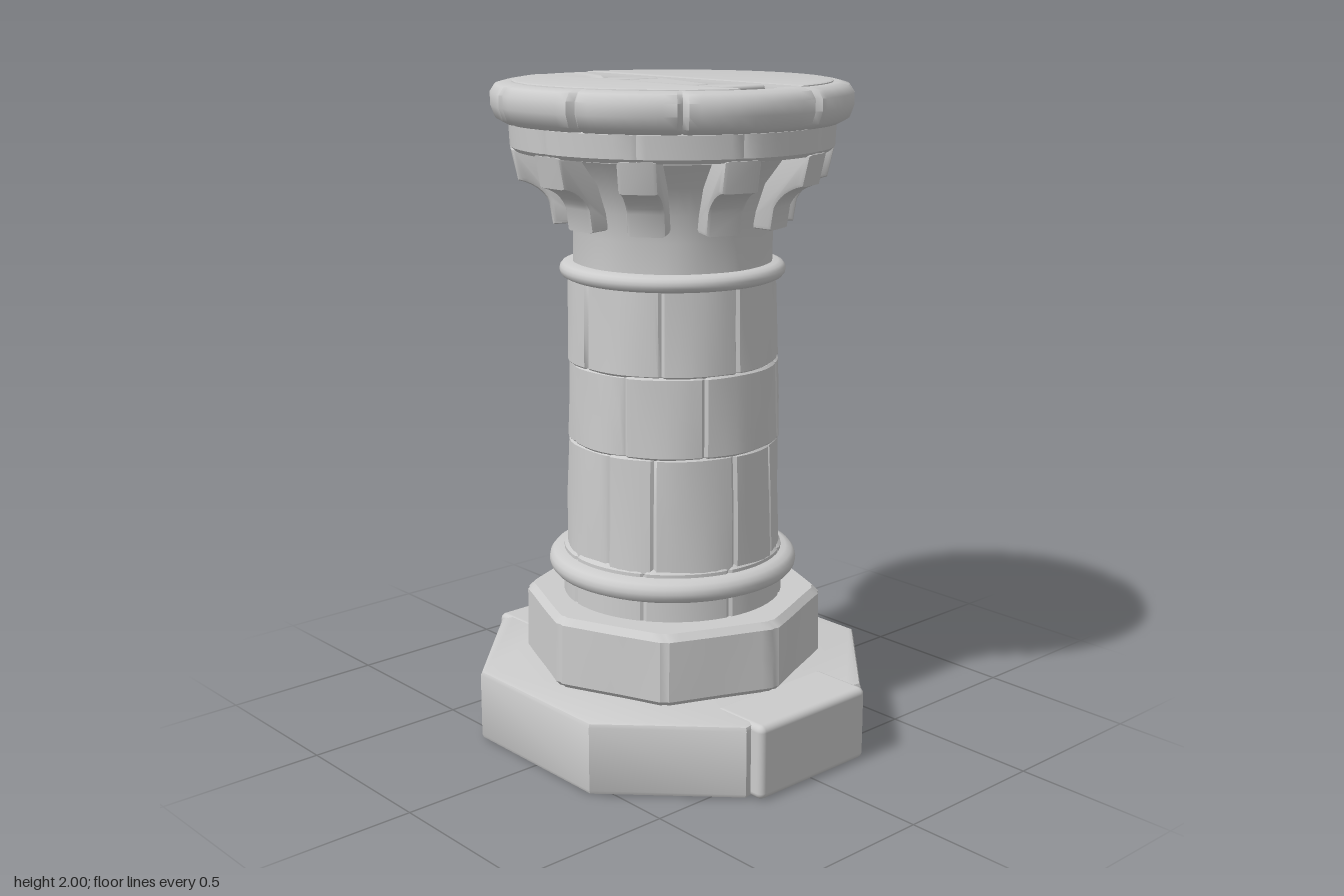
import * as THREE from 'three';
import { toCreasedNormals } from 'three/addons/utils/BufferGeometryUtils.js';
import { RoundedBoxGeometry } from 'three/addons/geometries/RoundedBoxGeometry.js';

const TAU = Math.PI * 2;
const stone = new THREE.MeshStandardMaterial({ color: 0xcccccc });
const rad = (d) => THREE.MathUtils.degToRad(d);
const noise = (n) => { const s = Math.sin(n * 127.1 + 3.7) * 43758.5; return (s - Math.floor(s)) * 2 - 1; };
const evenSeams = (n, offset = 0) => Array.from({ length: n }, (_, i) => offset + (i * 360) / n);

function add(group, geometry, name) {
  const mesh = new THREE.Mesh(geometry, stone);
  mesh.name = name;
  group.add(mesh);
  return mesh;
}

// Ring of stones: a turned profile [radius, y] (bottom to top) with grooves at
// the seam angles, small radius changes per stone and an optional outline.
function stoneRing(profile, { seams = [], groove = 0.03, wobble = 0, seed = 0, outline = () => 1, count = 64, crease = 35 } = {}) {
  const marks = seams.map((d) => THREE.MathUtils.euclideanModulo(rad(d), TAU)).sort((a, b) => a - b);
  const gap = (a, m) => Math.abs(Math.atan2(Math.sin(a - m), Math.cos(a - m)));
  const steps = [];
  for (let i = 0; i < count; i++) {
    const a = (i / count) * TAU;
    if (marks.every((m) => gap(a, m) > 0.045)) steps.push({ a, cut: 0 });
  }
  for (const m of marks) steps.push({ a: m - 0.03, cut: 0 }, { a: m, cut: groove }, { a: m + 0.03, cut: 0 });
  steps.sort((p, q) => p.a - q.a);

  const point = ({ a, cut }, [r, y]) => {
    const k = marks.filter((m) => m < a).length % Math.max(marks.length, 1);
    const dent = wobble * (noise(k + seed) + 0.5 * Math.sin(a * 9 + y * 14 + seed));
    const s = r * outline(a) * (1 - cut + dent);
    return [Math.cos(a) * s, y, Math.sin(a) * s];
  };
  const pos = [];
  steps.forEach((s, i) => {
    const t = steps[(i + 1) % steps.length];
    for (let j = 0; j < profile.length - 1; j++) {
      const [a, b, c, d] = [point(s, profile[j]), point(s, profile[j + 1]), point(t, profile[j + 1]), point(t, profile[j])];
      if (profile[j + 1][0] > 0) pos.push(...a, ...b, ...c);
      if (profile[j][0] > 0) pos.push(...a, ...c, ...d);
    }
  });
  const g = new THREE.BufferGeometry();
  g.setAttribute('position', new THREE.Float32BufferAttribute(pos, 3));
  return toCreasedNormals(g, rad(crease));
}

// Drum with softly rounded edges, closed at both ends
const drum = (y0, y1, r0, r1, e = 0.012) => [
  [0, y0], [r0 - e, y0], [r0, y0 + e], [(r0 + r1) / 2, (y0 + y1) / 2], [r1, y1 - e], [r1 - e, y1], [0, y1]];

// Half-round moulding
function moulding(y0, y1, rIn, rOut) {
  const p = [];
  for (let i = 0; i <= 8; i++) {
    const t = -Math.PI / 2 + (Math.PI * i) / 8;
    p.push([rIn + (rOut - rIn) * Math.sqrt(Math.max(Math.cos(t), 0)), (y0 + y1) / 2 + (Math.sin(t) * (y1 - y0)) / 2]);
  }
  return p;
}

// Flat slab from plan points [x, z], with bevelled edges
function slab(points, y0, y1, bevel) {
  const shape = new THREE.Shape(points.map(([x, z]) => new THREE.Vector2(x, -z)));
  const g = new THREE.ExtrudeGeometry(shape, {
    depth: y1 - y0 - 2 * bevel, bevelThickness: bevel, bevelSize: bevel, bevelOffset: -bevel, bevelSegments: 2 });
  g.rotateX(-Math.PI / 2).translate(0, y0 + bevel, 0);
  return toCreasedNormals(g, rad(40));
}

export function createModel() {
  const model = new THREE.Group();

  // Octagonal plinth with two projecting side blocks
  const corner = [[0.575, 0.2], [0.58, 0.24], [0.26, 0.557]];
  const plan = [
    ...corner, ...[...corner].reverse().map(([x, z]) => [-x, z]),
    ...corner.map(([x, z]) => [-x, -z]), ...[...corner].reverse().map(([x, z]) => [x, -z])];
  add(model, slab(plan, 0, 0.225, 0.015), 'plinth');
  for (const s of [1, -1]) {
    add(model, new RoundedBoxGeometry(0.2, 0.227, 0.44, 3, 0.02), 'plinthSideBlock').position.set(s * 0.52, 0.1135, 0);
  }

  // Octagonal second step, its stones meeting at the corners
  const octagon = (a) => {
    const w = Math.PI / 4;
    const t = THREE.MathUtils.euclideanModulo(a, w) - w / 2;
    return Math.cos(w / 2) / Math.cos(t);
  };
  add(model, stoneRing(drum(0.22, 0.443, 0.463, 0.46, 0.02),
    { seams: evenSeams(8), groove: 0.02, outline: octagon, wobble: 0.004, seed: 4 }), 'step');

  // Shaft foot and lower moulding
  add(model, stoneRing(drum(0.43, 0.6, 0.338, 0.335), { seams: evenSeams(8, 12), groove: 0.02 }), 'shaftFoot');
  add(model, stoneRing(moulding(0.505, 0.58, 0.3, 0.382)), 'lowerMoulding');

  // Shaft in three courses of staggered stones
  const courses = [
    [0.58, 0.935, 0.33, 0.32, [8, 52, 78, 135, 170, 215, 262, 300, 338]],
    [0.93, 1.175, 0.32, 0.316, [25, 68, 110, 150, 196, 240, 283, 325]],
    [1.17, 1.44, 0.315, 0.309, [5, 48, 95, 132, 180, 222, 270, 312]]];
  courses.forEach(([y0, y1, r0, r1, seams], i) => {
    add(model, stoneRing(drum(y0, y1, r0, r1, 0.007),
      { seams, groove: 0.025, wobble: 0.012, seed: i * 11 + 2, count: 56 }), 'shaftCourse');
  });
  add(model, stoneRing(moulding(1.42, 1.472, 0.28, 0.338)), 'upperMoulding');

  // Flared capital core
  add(model, stoneRing([[0, 1.44], [0.3, 1.44], [0.3, 1.56], [0.315, 1.64], [0.345, 1.72], [0.4, 1.79], [0.4, 1.82], [0, 1.82]],
    { wobble: 0.01, seed: 6 }), 'capitalCore');

  // Ten curved brackets around the capital, one facing the front
  const side = new THREE.Shape();
  side.moveTo(0.26, 1.59);
  side.lineTo(0.355, 1.585);
  side.lineTo(0.365, 1.65);
  side.quadraticCurveTo(0.39, 1.7, 0.455, 1.715);
  side.lineTo(0.475, 1.805);
  side.lineTo(0.26, 1.805);
  const bracket = new THREE.ExtrudeGeometry(side, {
    depth: 0.09, bevelThickness: 0.012, bevelSize: 0.012, bevelOffset: -0.012, bevelSegments: 2, curveSegments: 6 });
  bracket.translate(0, 0, -0.045);
  const bracketGeometry = toCreasedNormals(bracket, rad(40));
  for (let i = 0; i < 10; i++) {
    add(model, bracketGeometry, 'bracket').rotation.y = Math.PI / 2 + (i * TAU) / 10;
  }

  // Collar under the cap
  add(model, stoneRing(drum(1.8, 1.89, 0.477, 0.48), { seams: evenSeams(10, 18), groove: 0.012 }), 'collar');

  // Cap rim of rounded stones, recessed in the middle
  const capSeams = [39, 73, 107, 141, 187, 220, 253, 287, 320, 353];
  add(model, stoneRing([[0, 1.88], [0.49, 1.88], [0.517, 1.895], [0.53, 1.93], [0.53, 1.965], [0.515, 1.988], [0.485, 1.996],
    [0.4, 1.99], [0.35, 1.968], [0, 1.968]], { seams: capSeams, groove: 0.035, wobble: 0.004, seed: 9, crease: 50 }), 'capRim');

  // Paving on top: two slabs with a row of tilted tiles between them
  const chord = (z, r, sign) => {
    const a0 = Math.asin(z / r);
    return Array.from({ length: 25 }, (_, i) => {
      const a = a0 + ((Math.PI - 2 * a0) * i) / 24;
      return [Math.cos(a) * r, sign * Math.sin(a) * r];
    });
  };
  add(model, slab(chord(0.055, 0.47, -1).reverse(), 1.95, 2, 0.008), 'backPavingSlab');
  add(model, slab(chord(0.153, 0.47, 1), 1.95, 2, 0.008), 'frontPavingSlab');
  [[-0.225, 0.225, 0.05], [-0.002, 0.21, -0.04], [0.222, 0.225, 0.05]].forEach(([x, w, tilt]) => {
    const tile = add(model, new RoundedBoxGeometry(w, 0.05, 0.2, 2, 0.01), 'pavingTile');
    tile.position.set(x, 1.966, 0.048);
    tile.rotation.z = tilt;
  });

  return model;
}
